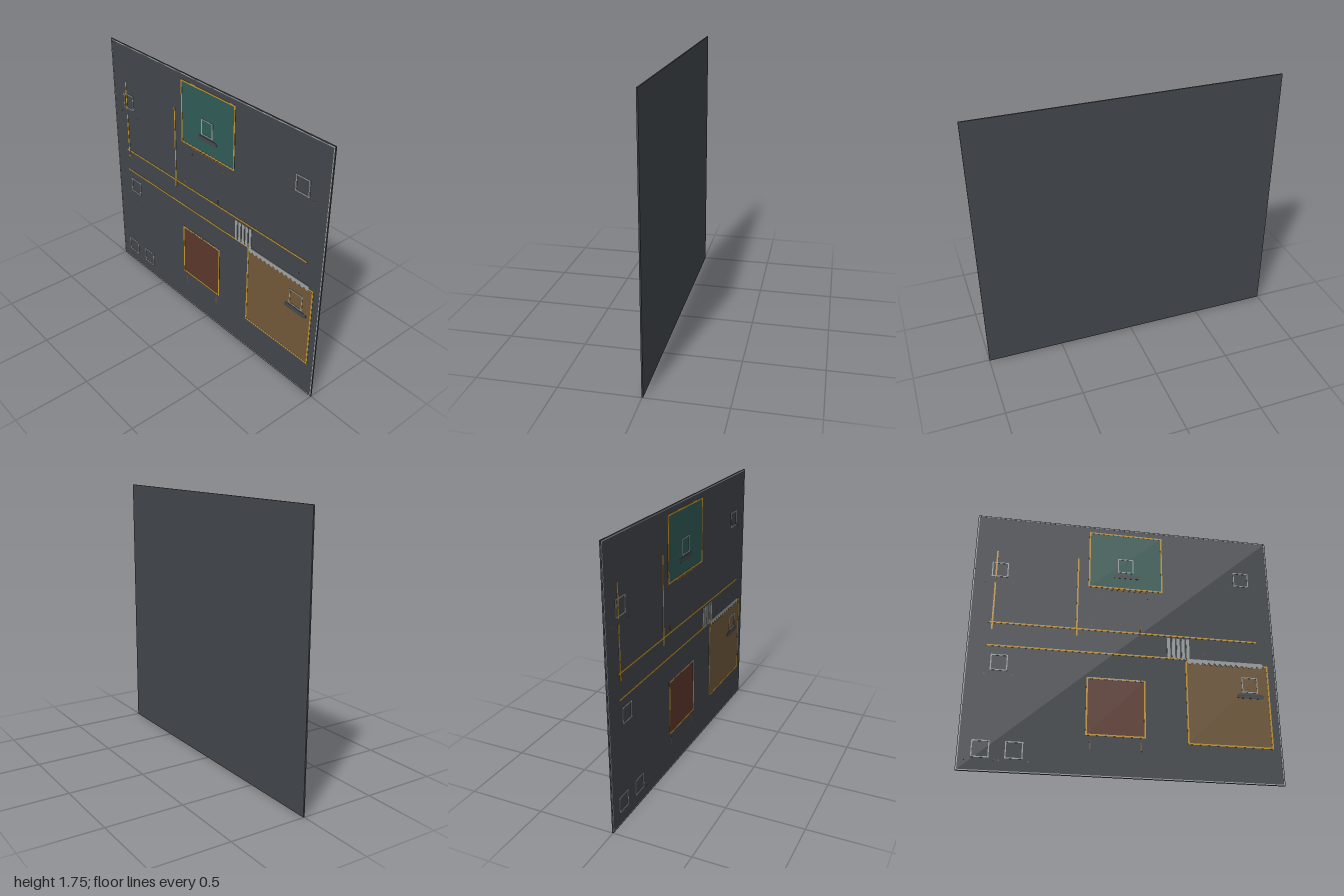
import * as THREE from 'three';

const mat = (name, color) => Object.assign(new THREE.MeshStandardMaterial({ color }), { name });

export function createModel() {
  const group = new THREE.Group();
  const slate = mat('slate', 0x43474c);
  const teal = mat('teal', 0x315c57);
  const rust = mat('rust', 0x5e382c);
  const ochre = mat('ochre', 0x735a3b);
  const amber = mat('amber', 0xc99a2e);
  const silver = mat('silver', 0xa0a5a5);
  const charcoal = mat('charcoal', 0x484a4f);
  const copper = mat('copper', 0x7a5430);

  const BASE = 0.003; // front face of the board

  // thin plate from (x0, y0) to (x1, y1), its front at z = top
  function plate(name, x0, y0, x1, y1, top, material, parent = group) {
    const mesh = new THREE.Mesh(new THREE.BoxGeometry(x1 - x0, y1 - y0, top - BASE + 0.001), material);
    mesh.position.set((x0 + x1) / 2, (y0 + y1) / 2, (top + BASE - 0.001) / 2);
    mesh.name = name;
    parent.add(mesh);
  }

  // rectangular outline of four strips
  function outline(name, x0, y0, x1, y1, w, top, material) {
    const g = new THREE.Group();
    g.name = name;
    plate('bottomStrip', x0, y0, x1, y0 + w, top, material, g);
    plate('topStrip', x0, y1 - w, x1, y1, top, material, g);
    plate('leftStrip', x0, y0 + w, x0 + w, y1 - w, top, material, g);
    plate('rightStrip', x1 - w, y0 + w, x1, y1 - w, top, material, g);
    group.add(g);
  }

  // board
  const board = new THREE.Mesh(new THREE.BoxGeometry(2, 1.75, 0.009), slate);
  board.position.set(0, 0.875, -0.0015);
  board.name = 'board';
  group.add(board);
  outline('boardEdge', -0.997, 0.003, 0.997, 1.747, 0.006, 0.004, silver);

  // coloured zones with amber borders
  const zones = [
    ['tealZone', -0.25, 1.28, 0.25, 1.705, teal],
    ['rustZone', -0.25, 0.255, 0.125, 0.635, rust],
    ['ochreZone', 0.39, 0.232, 0.945, 0.797, ochre],
  ];
  for (const [name, x0, y0, x1, y1, m] of zones) {
    plate(name, x0, y0, x1, y1, 0.004, m);
    outline(name + 'Border', x0, y0, x1, y1, 0.01, 0.005, amber);
  }

  // lane lines
  plate('upperLane', -0.88, 0.96, 0.88, 0.97, 0.005, amber);
  plate('lowerLane', -0.88, 0.8, 0.88, 0.81, 0.005, amber);
  plate('leftLaneLow', -0.86, 0.915, -0.85, 1.25, 0.005, amber);
  plate('leftLaneHigh', -0.86, 1.285, -0.85, 1.488, 0.005, amber);
  plate('innerLane', -0.325, 0.915, -0.315, 1.488, 0.005, amber);

  // crossing bars
  for (let i = 0; i < 5; i++) {
    const x = 0.272 + i * 0.032;
    plate('crossingBar', x, 0.805, x + 0.02, 0.948, 0.006, silver);
  }

  // dashes along the rust zone's top
  for (let i = 0; i < 12; i++) {
    const x = -0.235 + i * 0.03;
    plate('dash', x, 0.624, x + 0.012, 0.636, 0.006, silver);
  }

  // toothed strip along the ochre zone's top
  const teeth = new THREE.Shape();
  teeth.moveTo(0.4, 0.81);
  for (let i = 0; i < 14; i++) {
    const x = 0.4 + i * 0.0365;
    teeth.lineTo(x, 0.79);
    teeth.lineTo(x + 0.018, 0.772);
  }
  teeth.lineTo(0.911, 0.79);
  teeth.lineTo(0.911, 0.81);
  const strip = new THREE.Mesh(new THREE.ExtrudeGeometry(teeth, { depth: 0.003, bevelEnabled: false }), silver);
  strip.position.z = 0.003;
  strip.name = 'toothedStrip';
  group.add(strip);

  // marker squares, each with a pair of small dots below
  const squares = [[0, 1.46], [0.803, 1.435], [-0.83, 1.348], [-0.795, 0.692],
    [0.815, 0.655], [-0.867, 0.137], [-0.67, 0.137]];
  squares.forEach(([x, y], i) => {
    outline('markerSquare', x - 0.053, y - 0.053, x + 0.053, y + 0.053, 0.007, 0.006, silver);
    if (i === 0 || i === 4) return;
    const dy = i === 2 ? 0.092 : i === 3 ? 0.08 : 0.066;
    for (const s of [-1, 1]) {
      plate('markerDot', x + s * 0.086 - 0.004, y - dy - 0.004, x + s * 0.086 + 0.004, y - dy + 0.004, 0.004, copper);
    }
  });

  // rounded bars under two of the squares
  for (const [x, y] of [[0, 1.38], [0.815, 0.578]]) {
    const pill = new THREE.Shape();
    pill.absarc(x + 0.075, y, 0.016, -Math.PI / 2, Math.PI / 2);
    pill.absarc(x - 0.075, y, 0.016, Math.PI / 2, Math.PI * 1.5);
    const mesh = new THREE.Mesh(new THREE.ExtrudeGeometry(pill, { depth: 0.003, bevelEnabled: false, curveSegments: 6 }), charcoal);
    mesh.position.z = 0.003;
    mesh.name = 'roundedBar';
    group.add(mesh);
  }

  // small copper marks
  const marks = [
    [-0.155, 1.268, 0.155, 1.276], [-0.154, 1.22, -0.146, 1.228], [0.146, 1.22, 0.154, 1.228],
    [-0.229, 0.98, -0.221, 1.015], [0.095, 0.97, 0.104, 1.02],
    [-0.224, 0.17, -0.216, 0.225], [0.091, 0.17, 0.099, 0.225],
    [0.516, 0.851, 0.524, 0.859], [0.814, 0.851, 0.822, 0.859],
  ];
  for (const m of marks) plate('copperMark', ...m, 0.004, copper);

  return group;
}
